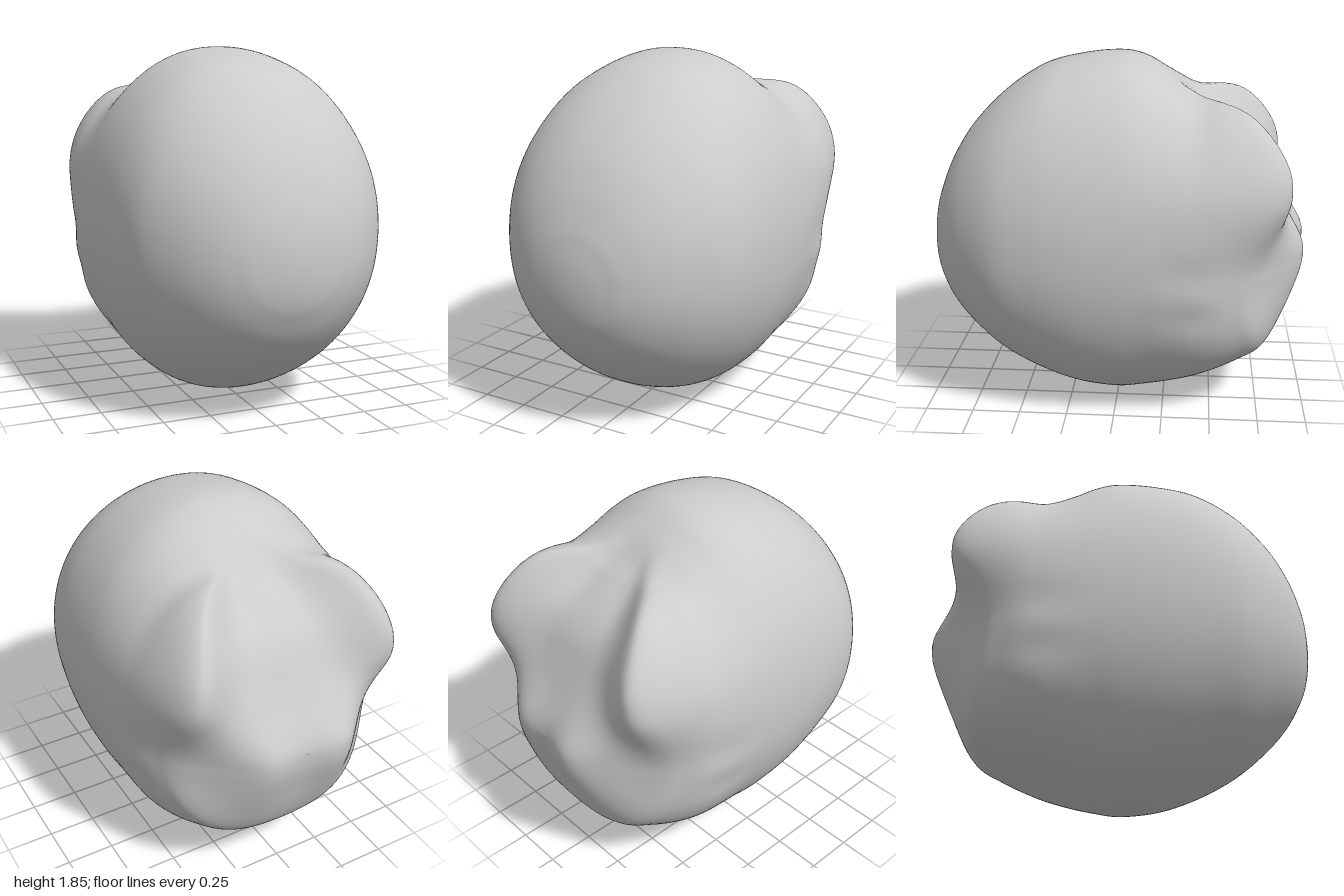
import * as THREE from 'three';

// Sections from front to back: z, top y, bottom y, half width.
// The first one mirrors the third through the front tip, so that the tip is round.
const SECTIONS = [
  [0.994, 0.755, 0.945, -0.09], [1, 0.85, 0.85, 0], [0.994, 0.945, 0.755, 0.09],
  [0.977, 1.04, 0.665, 0.18], [0.948, 1.14, 0.59, 0.275], [0.88, 1.3, 0.47, 0.4],
  [0.77, 1.47, 0.345, 0.525], [0.6, 1.64, 0.205, 0.645], [0.4, 1.77, 0.095, 0.7],
  [0.2, 1.825, 0.025, 0.724], [0, 1.845, 0, 0.728], [-0.13, 1.82, 0.015, 0.724],
  [-0.26, 1.745, 0.045, 0.715], [-0.4, 1.665, 0.09, 0.70], [-0.53, 1.635, 0.145, 0.68],
  [-0.65, 1.58, 0.205, 0.65], [-0.75, 1.48, 0.265, 0.61], [-0.82, 1.35, 0.36, 0.54],
  [-0.86, 1.18, 0.5, 0.42], [-0.87, 1.02, 0.68, 0.24], [-0.872, 0.85, 0.85, 0],
];

const smooth = THREE.MathUtils.smoothstep;
const bell = (p, c, s) => Math.exp(-0.5 * (
  ((p.x - c[0]) / s[0]) ** 2 + ((p.y - c[1]) / s[1]) ** 2 + ((p.z - c[2]) / s[2]) ** 2));

// Hollows and swellings of the rear
function sculpt(p) {
  const q = p.clone(), back = -q.z, wide = Math.abs(q.x);
  for (const side of [-1, 1]) {
    // upper side lobes
    const lobe = bell(q, [side * 0.5, 1.33, -0.76], [0.15, 0.18, 0.17]);
    p.z -= 0.11 * lobe;
    p.x += side * 0.035 * lobe;
    p.y += 0.075 * bell(q, [side * 0.4, 1.52, -0.67], [0.15, 0.15, 0.15]);
    p.x += side * 0.02 * bell(q, [side * 0.65, 1.25, -0.45], [0.15, 0.18, 0.2]);
    // twin knobs low on the back
    const reach = q.y < 0.83 ? 0.2 : 0.15;
    const knob = bell(q, [side * 0.2, 0.83, -0.87], [0.15, reach, 0.2]);
    p.z -= (side < 0 ? 0.125 : 0.1) * knob;
    // shallow dimples on the flanks
    for (const y of [0.85, 0.62]) {
      p.x -= side * 0.012 * bell(q, [side * 0.7, y, -0.4], [0.2, 0.06, 0.12]);
    }
  }
  // soft hollows under the lobes
  const hollow = smooth(wide, 0.15, 0.6) * smooth(back, 0.35, 0.85)
    * smooth(q.y, 0.2, 0.75) * (1 - smooth(q.y, 0.8, 1.2));
  p.z += 0.11 * hollow;
  p.x -= Math.sign(q.x) * 0.03 * hollow;
  // V-shaped valley between the lobes, deepest along the foot of each lobe
  const half = 0.14 + 0.85 * Math.max(0, back - 0.38);
  const foot = Math.min(1, (wide / half) ** 2);
  const across = (1 - smooth(wide, half * 0.3, half * 1.15)) * (0.75 + 0.6 * foot);
  const depth = 0.16 * across * smooth(back, 0.25, 0.7) * smooth(q.y, 0.85, 1.55);
  const upper = smooth(q.y, 1.0, 1.75);
  p.y -= depth * upper;
  p.z += depth * (1 - 0.6 * upper);
  return p;
}

function bodyGeometry(rings = 120, sides = 128) {
  const spine = new THREE.CatmullRomCurve3(
    SECTIONS.map(([z, t, b]) => new THREE.Vector3(z, t, b)), false, 'catmullrom');
  const width = new THREE.CatmullRomCurve3(
    SECTIONS.map(([z, , , w]) => new THREE.Vector3(z, w, 0)), false, 'catmullrom');
  const tip = 1 / (SECTIONS.length - 1);
  const pos = [], index = [];
  for (let i = 0; i <= rings; i++) {
    const t = THREE.MathUtils.clamp(tip + (1 - tip) * i / rings, tip + 0.0002, 0.9998);
    const { x: z, y: top, z: bottom } = spine.getPoint(t);
    const w = width.getPoint(t).y;
    // sections turn squarer towards the upper back
    const square = 0.12 + 0.48 * smooth(-z, 0.1, 0.6) * (1 - smooth(-z, 0.75, 0.87));
    for (let j = 0; j < sides; j++) {
      const a = j / sides * Math.PI * 2, c = Math.cos(a), s = Math.sin(a);
      const e = 2 / (2 + square * (0.75 + 0.25 * s));
      const p = new THREE.Vector3(
        Math.sign(c) * Math.abs(c) ** e * w,
        (top + bottom) / 2 + Math.sign(s) * Math.abs(s) ** e * (top - bottom) / 2, z);
      pos.push(...sculpt(p).toArray());
      if (i < rings) {
        const k = (j + 1) % sides, r0 = i * sides, r1 = r0 + sides;
        index.push(r0 + j, r1 + j, r0 + k, r1 + j, r1 + k, r0 + k);
      }
    }
  }
  const geo = new THREE.BufferGeometry();
  geo.setAttribute('position', new THREE.Float32BufferAttribute(pos, 3));
  geo.setIndex(index);
  geo.computeVertexNormals();
  return geo;
}

export function createModel() {
  const group = new THREE.Group();
  group.name = 'lobedBlob';
  const body = new THREE.Mesh(bodyGeometry(), new THREE.MeshStandardMaterial({ color: 0xcccccc }));
  body.name = 'body';
  group.add(body);
  return group;
}
